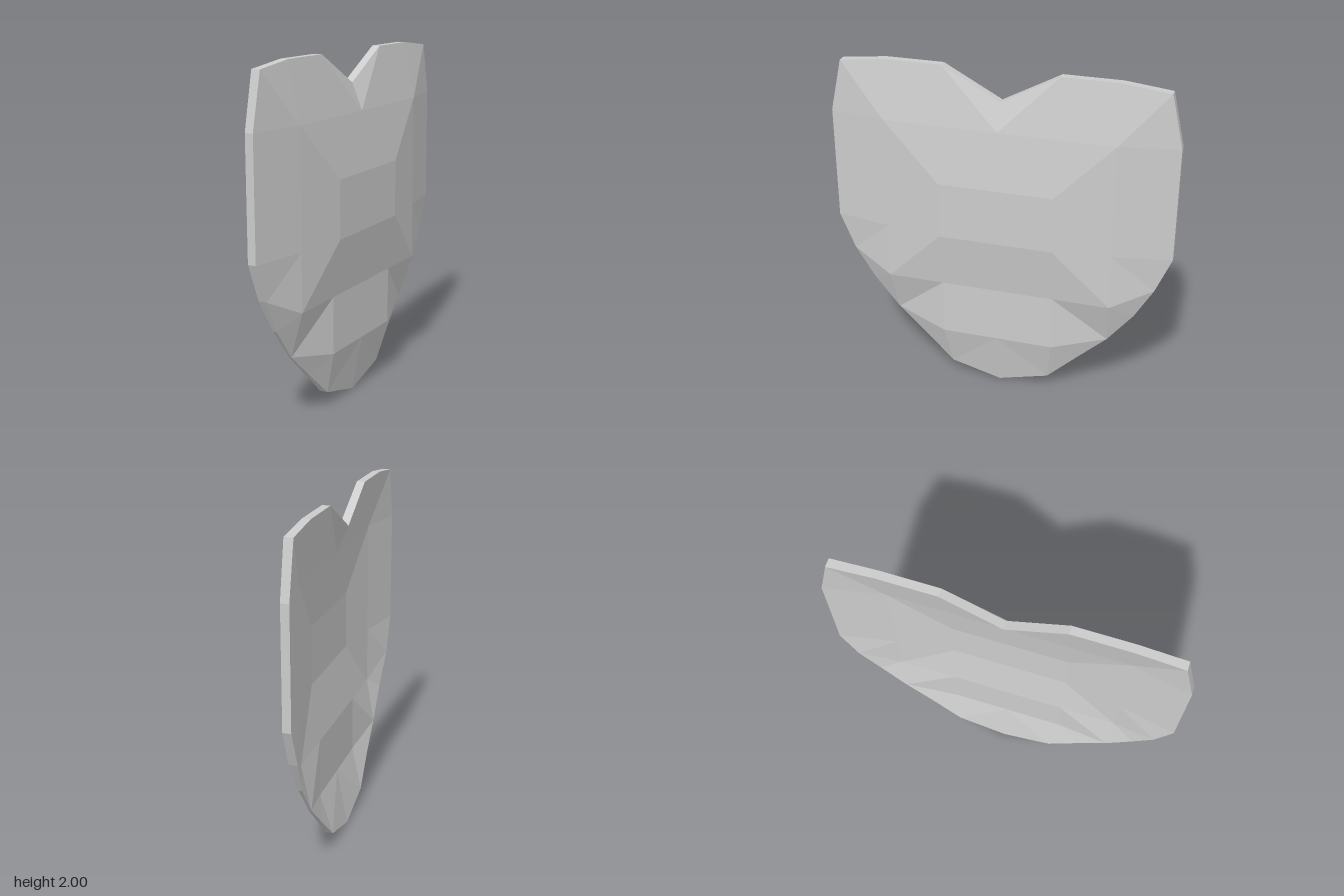
import * as THREE from 'three';

// Outline points that leave the regular grid: 'row,column' -> [z, y, front x, back x]
const OUTLINE = {
  '0,0': [0, 1.82, -0.03, -0.08],
  '0,3': [0.93, 1.97, -0.03, -0.08],
  '4,3': [0.91, 0.785, -0.03, -0.08],
  '5,3': [0.80, 0.59, -0.045, -0.065],
  '5,2': [0.65, 0.40, -0.05, -0.065],
  '6,2': [0.48, 0.245, -0.043, -0.07],
  '6,1': [0.30, 0.08, -0.03, -0.08],
};
const STEP_X = [-0.032, 0.032, 0.077]; // bulge by distance from the rim
const ROW_RING = [0, 1, 2, 2, 1, 1, 0];
const THICKNESS = 0.047;

// Plate point at a grid row (0 top .. 6 bottom) and column (-3 .. 3)
function point(row, col, back) {
  const side = Math.abs(col);
  const edge = OUTLINE[`${row},${side}`];
  if (edge) return [edge[back ? 3 : 2], edge[1], Math.sign(col) * edge[0]];
  const ring = Math.min(ROW_RING[row], 3 - side);
  return [STEP_X[ring] - (back ? THICKNESS : 0), 2 - row / 3, col / 3];
}

function meshFrom(name, positions, material) {
  const geometry = new THREE.BufferGeometry();
  geometry.setAttribute('position', new THREE.Float32BufferAttribute(positions, 3));
  geometry.computeVertexNormals();
  const mesh = new THREE.Mesh(geometry, material);
  mesh.name = name;
  return mesh;
}

// Domed face, or its hollow reverse
function face(back) {
  const out = [];
  const tri = (p, q, r) => out.push(...p, ...(back ? r : q), ...(back ? q : r));
  for (let row = 0; row < 6; row++) {
    for (let col = -3; col < 3; col++) {
      if (row === 5 && (col === -3 || col === 2)) continue; // rounded-off lower corners
      const a = point(row, col, back), b = point(row, col + 1, back);
      const c = point(row + 1, col + 1, back), d = point(row + 1, col, back);
      // Diagonals run toward the middle so the dome stays mirrored
      if ((row < 3) === (col >= 0)) {
        tri(a, b, d);
        tri(b, c, d);
      } else {
        tri(a, b, c);
        tri(a, c, d);
      }
    }
  }
  return out;
}

// Narrow wall joining both faces around the outline
function rim() {
  const half = [[0, 0], [0, 1], [0, 2], [0, 3], [1, 3], [2, 3], [3, 3], [4, 3],
    [5, 3], [5, 2], [6, 2], [6, 1], [6, 0]];
  const mirrored = half.slice(1, -1).reverse().map(([r, c]) => [r, -c]);
  const loop = [...half, ...mirrored];
  const out = [];
  loop.forEach(([r, c], i) => {
    const [r2, c2] = loop[(i + 1) % loop.length];
    const pf = point(r, c, false), pb = point(r, c, true);
    const qf = point(r2, c2, false), qb = point(r2, c2, true);
    out.push(...pf, ...pb, ...qb, ...pf, ...qb, ...qf);
  });
  return out;
}

export function createModel() {
  const group = new THREE.Group();
  group.name = 'shieldPlate';
  const material = new THREE.MeshStandardMaterial({ color: 0xcccccc, flatShading: true });
  group.add(
    meshFrom('domedFace', face(false), material),
    meshFrom('hollowBack', face(true), material),
    meshFrom('rim', rim(), material),
  );
  return group;
}
